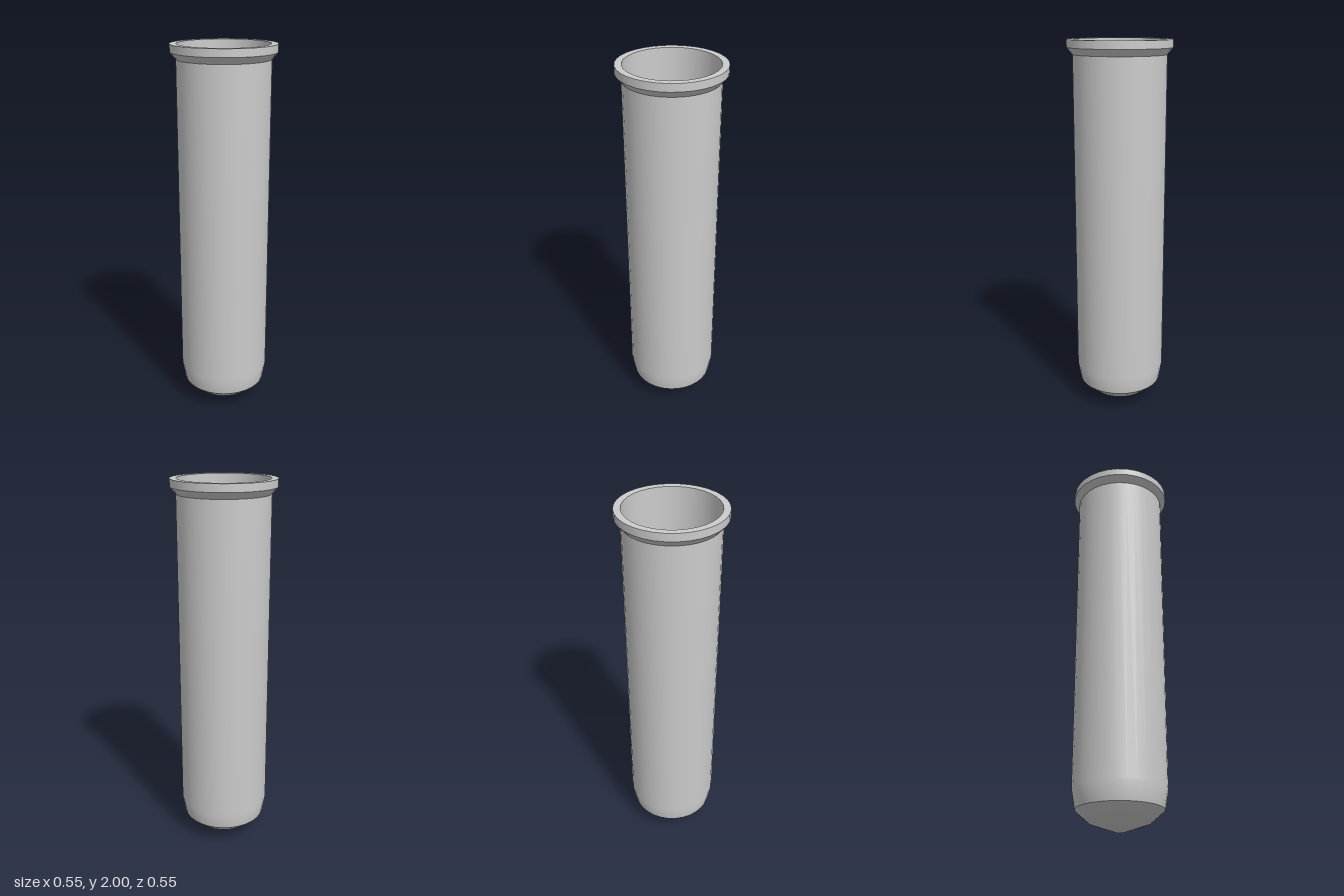
import * as THREE from 'three';

const SIDES = 32;

// Each section is a smooth [radius, y] profile; edges between sections stay sharp.
// Profiles run up the outside, over the lip and down the inside.
const SECTIONS = {
  roundedTip: [[0, 0], [0.02, 0.004], [0.155, 0.05], [0.225, 0.11]],
  outerWall: [[0.225, 0.11], [0.243, 0.21], [0.243, 1.925]],
  collarUnderside: [[0.243, 1.925], [0.273, 1.96]],
  collarSide: [[0.273, 1.96], [0.273, 2]],
  rim: [[0.273, 2], [0.238, 2]],
  innerWall: [[0.238, 2], [0.222, 0.21]],
  innerTaper: [[0.222, 0.21], [0.207, 0.11]],
  innerFloor: [[0.207, 0.11], [0, 0.11]],
};

export function createModel() {
  const tube = new THREE.Group();
  tube.name = 'testTube';
  const material = new THREE.MeshStandardMaterial({ color: 0xcccccc });

  for (const [name, profile] of Object.entries(SECTIONS)) {
    const points = profile.map(([r, y]) => new THREE.Vector2(r, y));
    const mesh = new THREE.Mesh(new THREE.LatheGeometry(points, SIDES), material);
    mesh.name = name;
    tube.add(mesh);
  }
  return tube;
}
